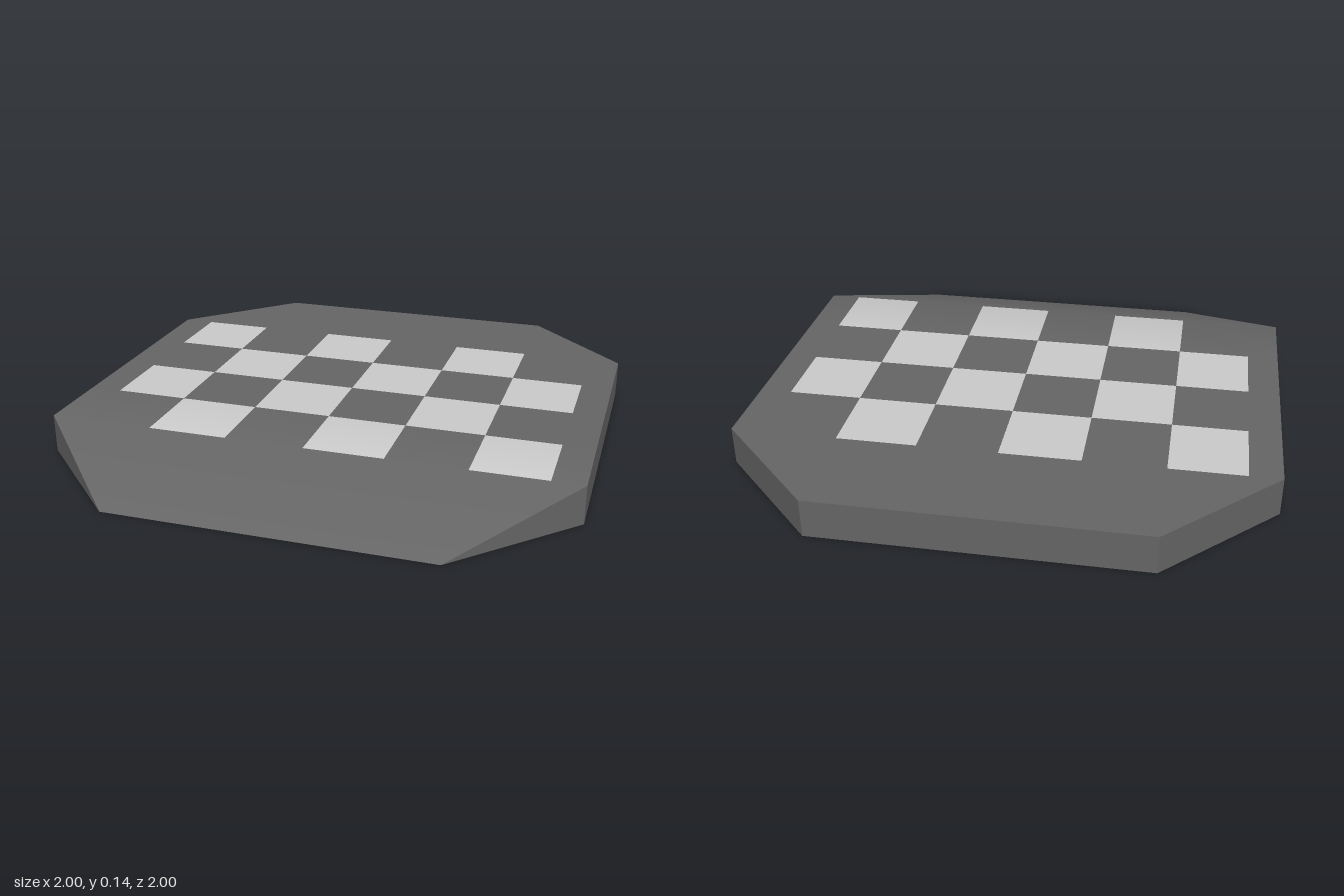
import * as THREE from 'three';

const H = 0.145;   // deck height
const CUT = 0.6;   // where the cut corners and the front ramp begin

// Height, half width and blended normal of the deck at depth z
const height = z => (z <= CUT ? H : H * (1 - z) / (1 - CUT));
const halfWidth = z => Math.min(1, 1 + CUT - Math.abs(z));
const rampAngle = Math.atan2(H, 1 - CUT);
function deckNormal(z) {
  const a = z < CUT - 0.01 ? 0 : z < CUT + 0.01 ? rampAngle / 2 : rampAngle;
  return [0, Math.cos(a), Math.sin(a)];
}

function toMesh(name, positions, normals, color) {
  const geometry = new THREE.BufferGeometry();
  geometry.setAttribute('position', new THREE.Float32BufferAttribute(positions, 3));
  if (normals) geometry.setAttribute('normal', new THREE.Float32BufferAttribute(normals, 3));
  else geometry.computeVertexNormals();
  const mesh = new THREE.Mesh(geometry, new THREE.MeshStandardMaterial({ color, side: THREE.DoubleSide }));
  mesh.name = name;
  return mesh;
}

// Collects quads lying on the deck, each between two depths
function surface() {
  const positions = [], normals = [];
  const quad = (z0, l0, r0, z1, l1, r1) => {
    for (const [x, z] of [[l0, z0], [l1, z1], [r1, z1], [l0, z0], [r1, z1], [r0, z0]]) {
      positions.push(x, height(z), z);
      normals.push(...deckNormal(z));
    }
  };
  return { positions, normals, quad };
}

export function createModel() {
  const group = new THREE.Group();
  group.name = 'checkeredPlatform';
  const deck = surface(), tiles = surface();

  // Checkered middle of the deck, with plain margins at both sides
  const columns = [-1, -0.88, -0.6, -0.3, 0, 0.3, 0.6, 0.88, 1];
  for (let row = 0; row < 4; row++) {
    const z0 = -CUT + row * 0.3, z1 = z0 + 0.3;
    for (let c = 0; c < 8; c++) {
      const isTile = c > 0 && c < 7 && (c - 1 + row) % 2 === 0;
      (isTile ? tiles : deck).quad(z0, columns[c], columns[c + 1], z1, columns[c], columns[c + 1]);
    }
  }

  // Tapered back strip and sloping front ramp
  for (const [z0, z1] of [[-1, -CUT], [CUT, 1]]) {
    const a = halfWidth(z0), b = halfWidth(z1);
    deck.quad(z0, -a, a, z1, -b, b);
  }
  group.add(toMesh('deck', deck.positions, deck.normals, 0x666666));
  group.add(toMesh('tiles', tiles.positions, tiles.normals, 0xcccccc));

  // Skirt around the sides and back; it tapers to nothing at the ramp's foot
  const rim = [[CUT, 1], [1, CUT], [1, -CUT], [CUT, -1], [-CUT, -1], [-1, -CUT], [-1, CUT], [-CUT, 1]];
  const walls = [];
  for (let i = 0; i < rim.length - 1; i++) {
    const [ax, az] = rim[i], [bx, bz] = rim[i + 1];
    const ah = height(az), bh = height(bz);
    if (bh > 0) walls.push(ax, 0, az, bx, 0, bz, bx, bh, bz);
    if (ah > 0) walls.push(ax, 0, az, bx, bh, bz, ax, ah, az);
  }
  group.add(toMesh('skirt', walls, null, 0x666666));
  return group;
}
